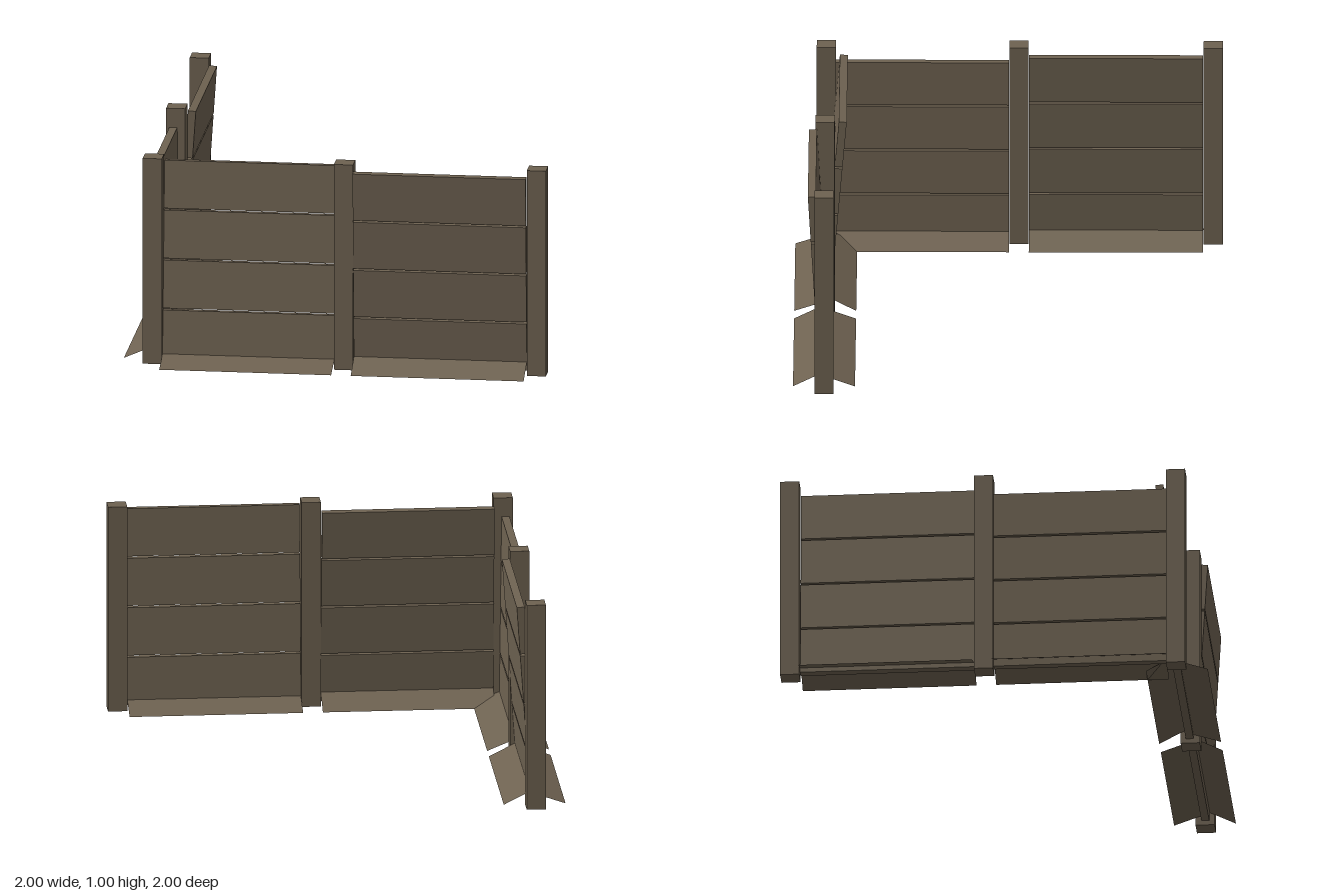
import * as THREE from 'three';

const POST = 0.09, HEIGHT = 0.995, THICK = 0.037, LINE = 0.855, REACH = 0.145;

export function createModel() {
  const model = new THREE.Group();
  model.name = 'boardFence';
  const wood = new THREE.MeshStandardMaterial({ color: 0x6e6251 });
  wood.name = 'weatheredWood';
  const thinWood = new THREE.MeshStandardMaterial({ color: 0x6e6251, side: THREE.DoubleSide });
  thinWood.name = 'weatheredWoodThin';

  // Square posts along the front line and the side wing
  const postGeometry = new THREE.BoxGeometry(POST, HEIGHT, POST);
  [[-LINE, LINE], [0.046, LINE], [0.955, LINE], [-LINE, -0.046], [-LINE, -0.955]].forEach(([x, z]) => {
    const post = new THREE.Mesh(postGeometry, wood);
    post.name = 'post';
    post.position.set(x, HEIGHT / 2, z);
    model.add(post);
  });

  // Thin sloping board from the ground up to the centre of a panel
  function skirtBoard(width, side, lean) {
    const rise = REACH * Math.tan(THREE.MathUtils.degToRad(23 + side * lean));
    const w = width / 2, z = side * REACH;
    const geometry = new THREE.BufferGeometry();
    geometry.setAttribute('position', new THREE.Float32BufferAttribute([
      -w, 0, z, w, 0, z, w, rise, 0, -w, rise, 0], 3));
    geometry.setIndex(side > 0 ? [0, 1, 2, 0, 2, 3] : [0, 2, 1, 0, 3, 2]);
    geometry.computeVertexNormals();
    const skirt = new THREE.Mesh(geometry, thinWood);
    skirt.name = 'groundSkirt';
    return skirt;
  }

  // Four stacked planks leaning by an angle, with a skirt on each side
  function panel(width, top, lean) {
    const group = new THREE.Group();
    group.name = 'panel';
    const planks = new THREE.Group();
    planks.name = 'planks';
    const pitch = (top - 0.012) / 4;
    const geometry = new THREE.BoxGeometry(width, pitch - 0.009, THICK);
    for (let i = 0; i < 4; i++) {
      const plank = new THREE.Mesh(geometry, wood);
      plank.name = 'plank';
      plank.position.y = top - pitch * i - (pitch - 0.009) / 2;
      planks.add(plank);
    }
    planks.rotation.x = THREE.MathUtils.degToRad(lean);
    group.add(planks, skirtBoard(width, 1, lean), skirtBoard(width, -1, lean));
    model.add(group);
    return group;
  }

  // Front panels
  panel(0.81, 0.962, -4.9).position.set(-0.405, 0, LINE);
  panel(0.815, 0.962, 3.4).position.set(0.5, 0, LINE);

  // Side wing panels
  [[0.81, 0.903, -0.7, 0.405], [0.815, 0.962, 3.9, -0.5]].forEach(([width, top, lean, z]) => {
    const wing = panel(width, top, lean);
    wing.rotation.y = Math.PI / 2;
    wing.position.set(-LINE, 0, z);
  });

  return model;
}
